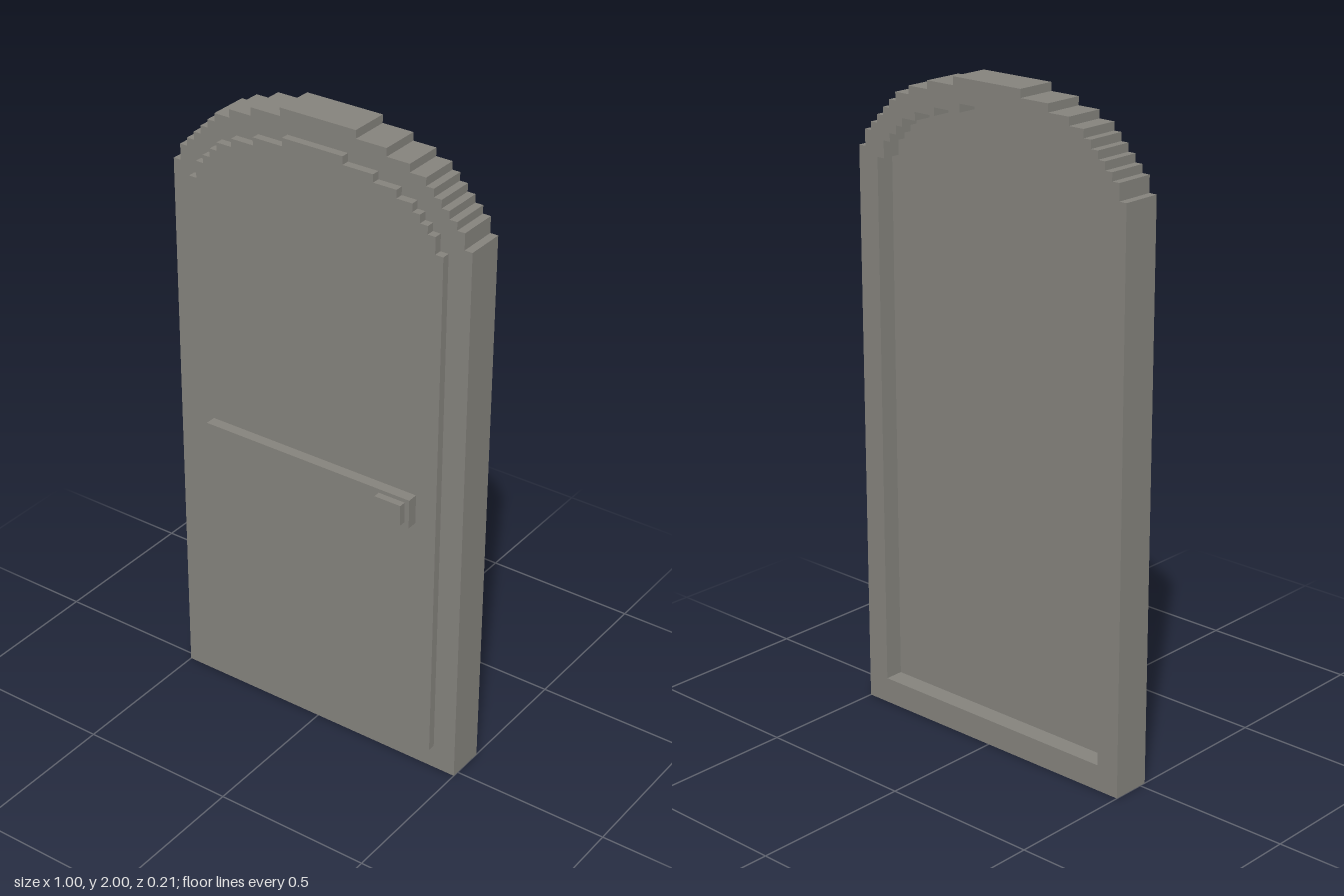
import * as THREE from 'three';

// Half-widths and heights of the stepped arches, from the spring line to the crown
const FRAME_STEPS = [[0.5, 1.75], [0.475, 1.8], [0.45, 1.825], [0.425, 1.85], [0.4, 1.875],
  [0.375, 1.9], [0.35, 1.925], [0.298, 1.95], [0.224, 1.975], [0.125, 2]];
const PANEL_STEPS = [[0.426, 1.725], [0.4, 1.777], [0.375, 1.802], [0.35, 1.828],
  [0.325, 1.853], [0.274, 1.878], [0.199, 1.902], [0.1, 1.927]];

// Symmetric outline of a doorway with a staircase arch
function archPoints(steps, bottom) {
  const right = [new THREE.Vector2(steps[0][0], bottom)];
  steps.forEach(([x, y], i) => {
    if (i > 0) right.push(new THREE.Vector2(x, steps[i - 1][1]));
    right.push(new THREE.Vector2(x, y));
  });
  const left = right.map((p) => new THREE.Vector2(-p.x, p.y)).reverse();
  return [...right, ...left];
}

export function createModel() {
  const group = new THREE.Group();
  group.name = 'archedDoor';
  const stone = new THREE.MeshStandardMaterial({ color: 0x84827c });
  stone.name = 'stoneGrey';

  const add = (name, geometry) => {
    const mesh = new THREE.Mesh(geometry, stone);
    mesh.name = name;
    group.add(mesh);
  };
  const slab = (name, shape, z0, z1) => {
    const geometry = new THREE.ExtrudeGeometry(shape, { depth: z1 - z0, bevelEnabled: false });
    add(name, geometry.translate(0, 0, z0));
  };
  const block = (name, [x0, x1], [y0, y1], [z0, z1]) => add(name,
    new THREE.BoxGeometry(x1 - x0, y1 - y0, z1 - z0)
      .translate((x0 + x1) / 2, (y0 + y1) / 2, (z0 + z1) / 2));

  // Frame around the opening
  const frame = new THREE.Shape(archPoints(FRAME_STEPS, 0));
  frame.holes.push(new THREE.Path(archPoints(PANEL_STEPS, 0.08).reverse()));
  slab('frame', frame, -0.104, 0.021);

  // Door leaf: proud of the frame in front, recessed behind
  slab('doorPanel', new THREE.Shape(archPoints(PANEL_STEPS, 0.08)), -0.045, 0.046);

  // Cross bar and latch
  block('crossBar', [-0.36, 0.358], [0.863, 0.956], [0.046, 0.08]);
  block('latch', [0.255, 0.343], [0.878, 0.944], [0.08, 0.102]);

  return group;
}
